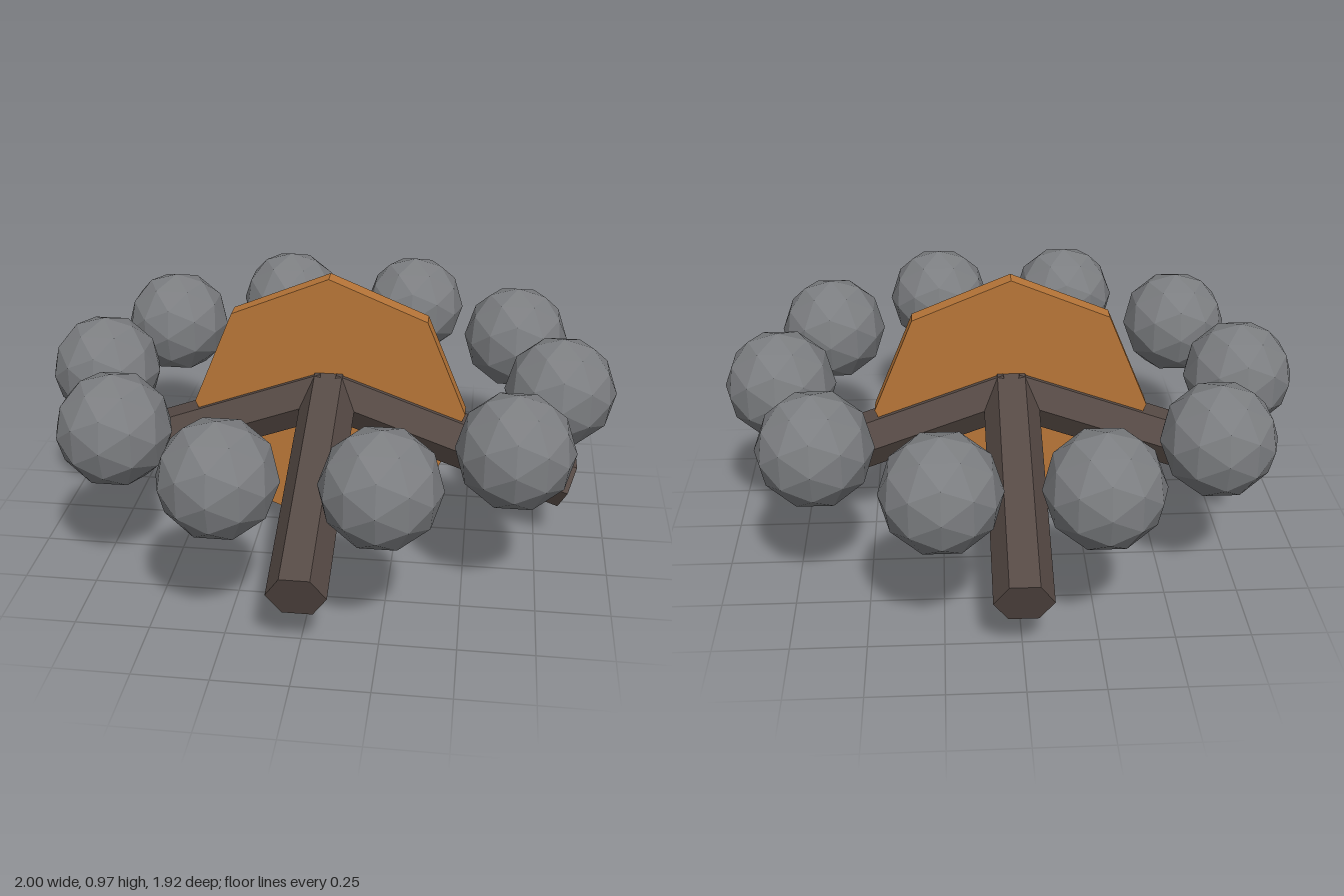
import * as THREE from 'three';

const material = (color) => new THREE.MeshStandardMaterial({ color, flatShading: true });

export function createModel() {
  const model = new THREE.Group();
  const stone = material(0x7c7e81);
  const wood = material(0x564a45);
  const copper = material(0xb87638);

  const add = (name, geometry, mat) => {
    const mesh = new THREE.Mesh(geometry, mat);
    mesh.name = name;
    model.add(mesh);
    return mesh;
  };

  // Ring of ten faceted stones
  const ringRadius = 0.807;
  const stoneGeometry = new THREE.IcosahedronGeometry(0.193, 1);
  for (let i = 0; i < 10; i++) {
    const a = (i / 10) * Math.PI * 2;
    add(`stone${i + 1}`, stoneGeometry, stone)
      .position.set(Math.cos(a) * ringRadius, 0.583, Math.sin(a) * ringRadius);
  }

  // Four hexagonal logs sloping down and out from the centre
  const logLength = 0.91;
  const logGeometry = new THREE.CylinderGeometry(0.097, 0.097, logLength, 6)
    .rotateZ(-Math.PI / 2)
    .translate(logLength / 2, 0, 0)
    .rotateZ(THREE.MathUtils.degToRad(-20))
    .translate(0, 0.541, 0);
  for (let i = 0; i < 4; i++) {
    add(`log${i + 1}`, logGeometry, wood).rotation.y = (i * Math.PI) / 2;
  }

  // Upright eight-sided disc through the middle
  const discGeometry = new THREE.CylinderGeometry(0.483, 0.483, 0.065, 8)
    .rotateX(Math.PI / 2)
    .translate(0, 0.485, 0);
  add('disc', discGeometry, copper);

  return model;
}
